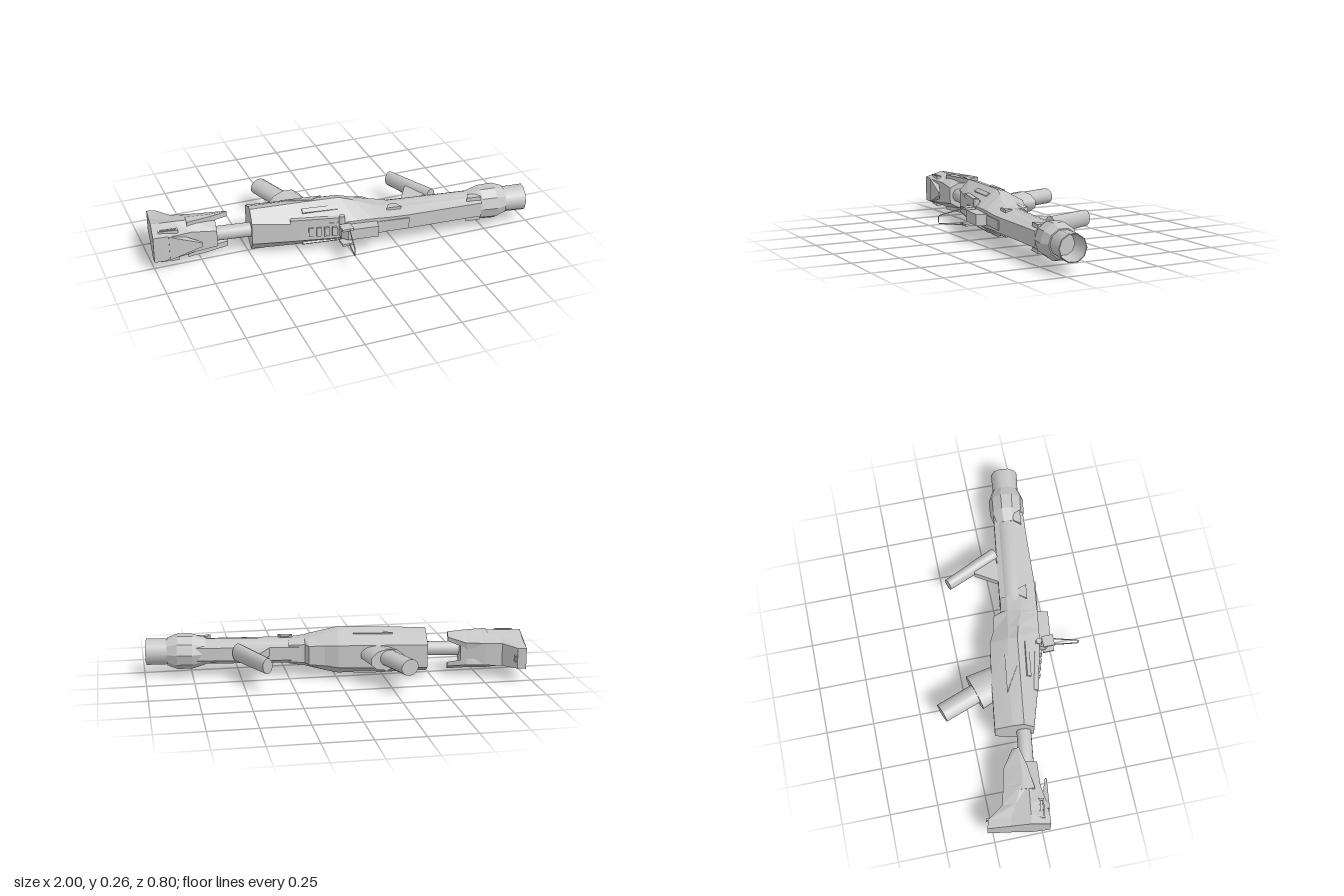
import * as THREE from 'three';

const metal = new THREE.MeshStandardMaterial({ color: 0xc6c6c6 });
metal.name = 'grey metal';

function add(parent, name, geometry) {
  const mesh = new THREE.Mesh(geometry, metal);
  mesh.name = name;
  parent.add(mesh);
  return mesh;
}

// Faceted loft along x: stations of [x, [y, z], ...], anticlockwise seen from +x
function loft(stations) {
  const pos = [];
  const rings = stations.map(([x, ...pts]) => pts.map(([y, z]) => [x, y, z]));
  const tri = (a, b, c) => pos.push(...a, ...b, ...c);
  const n = rings[0].length;
  for (let i = 0; i < rings.length - 1; i++) {
    for (let j = 0; j < n; j++) {
      const k = (j + 1) % n, p = rings[i], q = rings[i + 1];
      tri(p[j], p[k], q[k]);
      tri(p[j], q[k], q[j]);
    }
  }
  const first = rings[0], last = rings[rings.length - 1];
  for (let j = 1; j < n - 1; j++) {
    tri(first[0], first[j + 1], first[j]);
    tri(last[0], last[j], last[j + 1]);
  }
  const g = new THREE.BufferGeometry();
  g.setAttribute('position', new THREE.Float32BufferAttribute(pos, 3));
  g.computeVertexNormals();
  return g;
}

// Symmetric hull: stations of [x, [z, halfWidth], ...] listed from low z to high z
const hull = (stations) => loft(stations.map(([x, ...rows]) => [
  x,
  ...rows.map(([z, h]) => [h, z]),
  ...rows.slice().reverse().map(([z, h]) => [-h, z]),
]));

// Flat plate: outline in x and z, filling y0 to y1
function plate(points, y0, y1, hole) {
  const shape = new THREE.Shape(points.map((p) => new THREE.Vector2(...p)));
  if (hole) shape.holes.push(new THREE.Path(hole.map((p) => new THREE.Vector2(...p))));
  const g = new THREE.ExtrudeGeometry(shape, { depth: y1 - y0, bevelEnabled: false });
  return g.rotateX(Math.PI / 2).translate(0, y1, 0);
}

// Turned part along x: profile of [x, radius]
function turned(profile, sides) {
  const g = new THREE.LatheGeometry(profile.map(([x, r]) => new THREE.Vector2(r, x)), sides);
  return g.rotateZ(-Math.PI / 2);
}

// Oval bar from a to b, with its own radius in the y direction
function bar(parent, name, a, b, r0, r1, ry, sides) {
  const from = new THREE.Vector3(...a), to = new THREE.Vector3(...b);
  const dir = to.clone().sub(from);
  const g = new THREE.CylinderGeometry(r1, r0, dir.length(), sides);
  g.scale(1, 1, ry / Math.max(r0, r1));
  g.rotateX(Math.PI / 2).rotateY(Math.atan2(dir.x, dir.z));
  add(parent, name, g).position.copy(from.add(to).multiplyScalar(0.5));
}

function box(parent, name, size, at) {
  const mesh = add(parent, name, new THREE.BoxGeometry(...size));
  mesh.position.set(...at);
  return mesh;
}

function wire(parent, name, points, r) {
  const path = new THREE.CurvePath();
  const v = points.map((p) => new THREE.Vector3(...p));
  for (let i = 1; i < v.length; i++) path.add(new THREE.LineCurve3(v[i - 1], v[i]));
  add(parent, name, new THREE.TubeGeometry(path, 36, r, 6));
}

export function createModel() {
  const model = new THREE.Group();
  model.name = 'rifle lying on its side';
  const gun = new THREE.Group();
  gun.name = 'gunBody';
  gun.position.set(0, 0.13, 0.0755);
  gun.rotation.y = -0.135;
  model.add(gun);

  // Receiver, widest along its middle ridge
  add(gun, 'receiver', hull([
    [-0.49, [-0.15, 0.062], [-0.06, 0.104], [0, 0.118], [0.054, 0.06]],
    [-0.25, [-0.15, 0.062], [-0.06, 0.108], [0, 0.124], [0.094, 0.05]],
    [-0.02, [-0.145, 0.06], [-0.05, 0.114], [0.0, 0.128], [0.12, 0.045]],
    [0.05, [-0.122, 0.055], [-0.045, 0.1], [0.01, 0.11], [0.12, 0.045]],
    [0.135, [-0.115, 0.05], [-0.04, 0.08], [0.03, 0.085], [0.12, 0.045]],
    [0.155, [-0.078, 0.05], [-0.04, 0.075], [0.03, 0.078], [0.12, 0.045]],
    [0.24, [-0.07, 0.045], [-0.035, 0.064], [0.04, 0.064], [0.118, 0.04]],
  ]));

  // Fore end: round tube with a rail above and a strip below
  add(gun, 'foreTube', turned([[0.1, 0], [0.1, 0.068], [0.74, 0.068], [0.74, 0]], 20));
  add(gun, 'topCover', hull([
    [0.15, [0, 0.066], [0.055, 0.062], [0.12, 0.042]],
    [0.32, [0, 0.066], [0.055, 0.06], [0.117, 0.04]],
    [0.6, [0, 0.066], [0.05, 0.058], [0.095, 0.04]],
    [0.74, [0, 0.066], [0.05, 0.058], [0.086, 0.04]],
  ]));
  add(gun, 'underStrip', hull([
    [0.15, [-0.076, 0.035], [-0.03, 0.055]],
    [0.74, [-0.075, 0.035], [-0.03, 0.055]],
  ]));

  // Collar and hollow muzzle
  const collar = turned(
    [[0.68, 0], [0.68, 0.07], [0.75, 0.092], [0.83, 0.095], [0.885, 0.075], [0.885, 0]], 10).toNonIndexed();
  collar.computeVertexNormals();
  add(gun, 'muzzleCollar', collar);
  add(gun, 'muzzle', turned([[0.85, 0.068], [0.997, 0.071]], 10));
  add(gun, 'muzzleRim', turned([[0.997, 0.071], [0.997, 0.067]], 10));
  add(gun, 'bore', turned([[0.997, 0.067], [0.87, 0.055], [0.87, 0]], 10));

  // Rod joining receiver and stock
  add(gun, 'stockRod', turned([[-0.72, 0], [-0.72, 0.038], [-0.48, 0.038]], 16));

  // Stock with a pointed spine on top
  add(gun, 'stock', hull([
    [-1, [-0.221, 0.055], [-0.1, 0.07], [0, 0.1], [0.098, 0.07]],
    [-0.955, [-0.215, 0.055], [-0.1, 0.07], [0, 0.1], [0.096, 0.07]],
    [-0.886, [-0.139, 0.06], [-0.07, 0.08], [0, 0.1], [0.085, 0.065]],
    [-0.8, [-0.13, 0.06], [-0.04, 0.098], [0, 0.1], [0.06, 0.06]],
    [-0.67, [-0.1, 0.05], [-0.04, 0.072], [0, 0.072], [0.053, 0.045]],
  ]));
  add(gun, 'stockSpine', hull([
    [-0.92, [0.05, 0.075], [0.097, 0.068]],
    [-0.75, [0.088, 0.012], [0.097, 0.01]],
  ]));
  box(gun, 'stockLatch', [0.01, 0.03, 0.05], [-0.945, 0, -0.2]);

  for (const s of [1, -1]) {
    const span = (a, b) => (s > 0 ? [a, b] : [-b, -a]);
    const mirror = ([x, ...pts]) => (s > 0 ? [x, ...pts] : [x, ...pts.map(([y, z]) => [-y, z]).reverse()]);

    // Sloping fork prongs of the stock
    add(gun, 'stockFork', loft([
      [-0.82, [0.06, -0.13], [0.1, -0.03], [0.102, 0.03], [0.07, 0.03], [0.07, -0.03], [0.03, -0.12]],
      [-0.7, [0.06, -0.121], [0.1, -0.03], [0.102, 0.0], [0.072, 0.0], [0.07, -0.03], [0.03, -0.115]],
      [-0.605, [0.08, -0.07], [0.1, -0.045], [0.102, -0.035], [0.075, -0.035], [0.075, -0.045], [0.058, -0.068]],
    ].map(mirror)));
    // Slot frame near the butt
    add(gun, 'stockSlot', plate(
      [[-0.97, 0.045], [-0.87, 0.045], [-0.87, 0.07], [-0.97, 0.07]], ...span(0.07, 0.088),
      [[-0.96, 0.052], [-0.88, 0.052], [-0.88, 0.063], [-0.96, 0.063]]));
    // Raised panel and slot bar on the receiver side
    const panel = add(gun, 'sidePanel', plate([[-0.11, -0.033], [0.1, -0.033], [0.03, 0.03]], -0.004, 0.004));
    panel.position.set(-0.2, s * 0.113, -0.04);
    panel.rotation.x = -s * 0.24;
    box(gun, 'sideSlotBar', [0.19, 0.012, 0.025], [-0.13, s * 0.096, 0.045]).rotation.x = s * 0.64;
    // Fore-end clamps
    for (const x of [0.26, 0.7]) {
      add(gun, 'foreClamp', plate(
        [[x - 0.04, 0.07], [x - 0.02, 0.03], [x + 0.02, 0.03], [x + 0.04, 0.07]], ...span(0.05, 0.07)));
    }
  }

  // Side charging rail and knob
  box(gun, 'chargingRail', [0.27, 0.025, 0.025], [-0.16, 0.06, 0.092]).rotation.y = -0.1;
  add(gun, 'chargingKnob', new THREE.CylinderGeometry(0.016, 0.016, 0.045, 10)).position.set(-0.03, 0.06, 0.113);

  // Top vents and sight block
  for (let i = 0; i < 4; i++) {
    box(gun, 'ventRib', [0.025, 0.05, 0.015], [-0.19 + i * 0.04, 0, 0.101 + i * 0.006]);
  }
  add(gun, 'sightBlock', plate(
    [[-0.05, 0.1], [0.16, 0.1], [0.15, 0.176], [-0.01, 0.178], [-0.04, 0.15]], -0.03, 0.03));
  box(gun, 'topRail', [0.2, 0.05, 0.008], [0.23, 0, 0.119]);

  // Folding wire sight
  wire(model, 'wireSight', [[-0.01, 0.165, 0.21], [-0.035, 0.168, 0.27], [-0.058, 0.136, 0.397],
    [-0.058, 0.096, 0.397], [-0.035, 0.082, 0.27], [-0.01, 0.085, 0.21]], 0.003);
  for (const y of [0.082, 0.168]) {
    box(model, 'sightBracket', [0.06, 0.012, 0.06], [-0.04, y, 0.235]);
  }

  // Pistol grip with a wide collar
  bar(model, 'pistolGrip', [-0.312, 0.152, -0.387], [-0.2, 0.145, -0.08], 0.051, 0.051, 0.043, 14);
  bar(model, 'gripCollar', [-0.235, 0.145, -0.2], [-0.195, 0.135, -0.07], 0.1, 0.085, 0.058, 10);

  // Front grip and its brace
  bar(model, 'frontGrip', [0.392, 0.145, -0.22], [0.515, 0.143, 0.06], 0.029, 0.034, 0.049, 14);
  add(model, 'frontGripBrace', plate([[0.42, -0.07], [0.48, -0.05], [0.52, 0.06], [0.34, 0.06]], 0.12, 0.165));

  return model;
}
